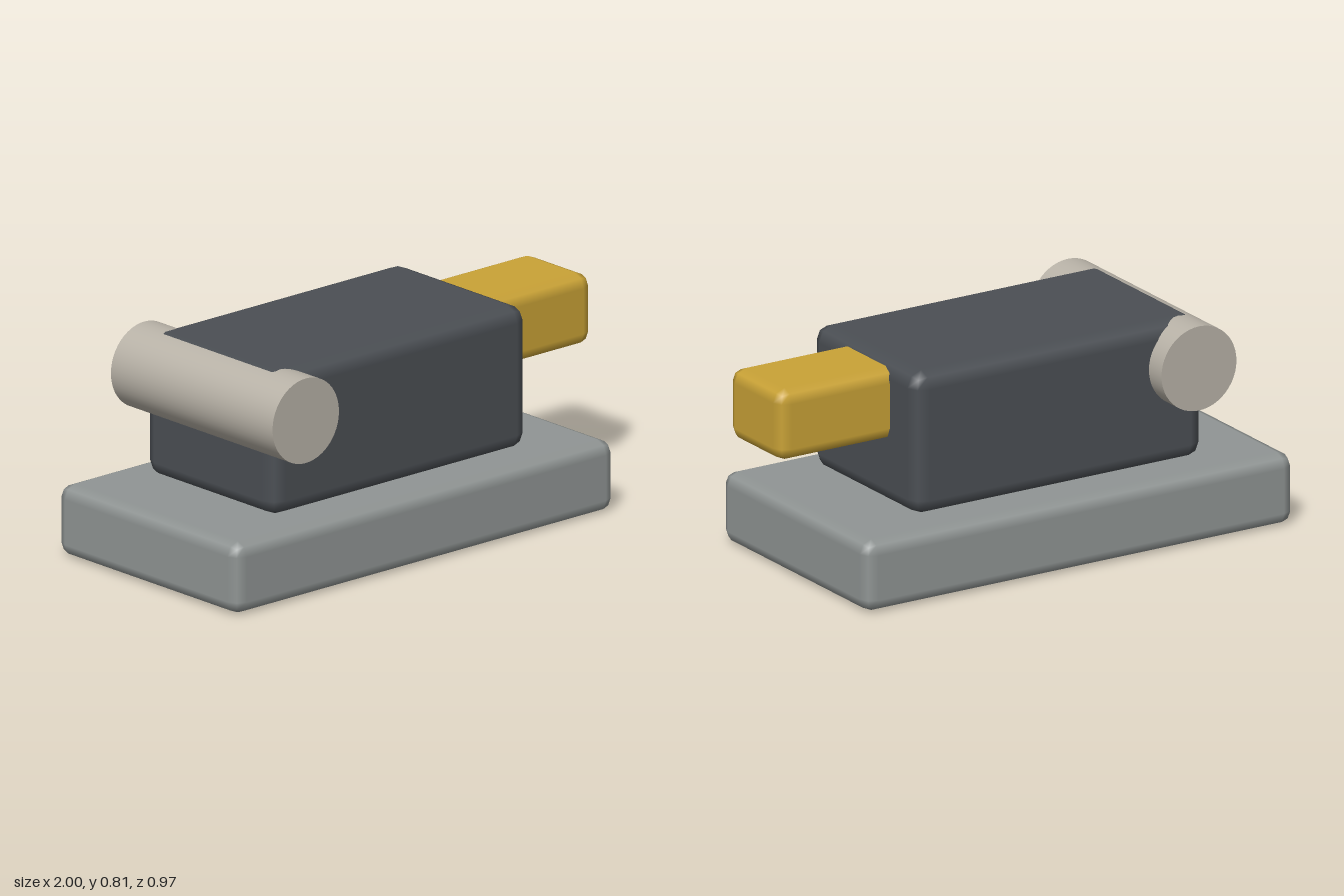
import * as THREE from 'three';
import { RoundedBoxGeometry } from 'three/addons/geometries/RoundedBoxGeometry.js';

const material = (name, color) => {
  const m = new THREE.MeshStandardMaterial({ color });
  m.name = name;
  return m;
};

export function createModel() {
  const model = new THREE.Group();
  model.name = 'latch';

  const add = (name, geometry, mat, x, y) => {
    const mesh = new THREE.Mesh(geometry, mat);
    mesh.name = name;
    mesh.position.set(x, y, 0);
    model.add(mesh);
  };

  // Soft-edged block given by its x and y extents and its depth
  const block = (name, mat, x0, x1, y0, y1, depth, radius) =>
    add(name, new RoundedBoxGeometry(x1 - x0, y1 - y0, depth, 1, radius), mat, (x0 + x1) / 2, (y0 + y1) / 2);

  // Base plate, housing and the bolt that slides out of it
  block('basePlate', material('plateGrey', 0x909594), -1, 0.83, 0, 0.27, 0.972, 0.05);
  block('housing', material('darkGrey', 0x4b4f54), -0.7, 0.533, 0.27, 0.812, 0.702, 0.06);
  block('bolt', material('brass', 0xc9a236), 0.3, 1, 0.515, 0.786, 0.352, 0.05);

  // Cross pin through the rear of the housing
  const pin = new THREE.CylinderGeometry(0.16, 0.16, 0.868, 48).rotateX(Math.PI / 2);
  add('crossPin', pin, material('paleMetal', 0xb8b2a7), -0.62, 0.65);

  return model;
}
